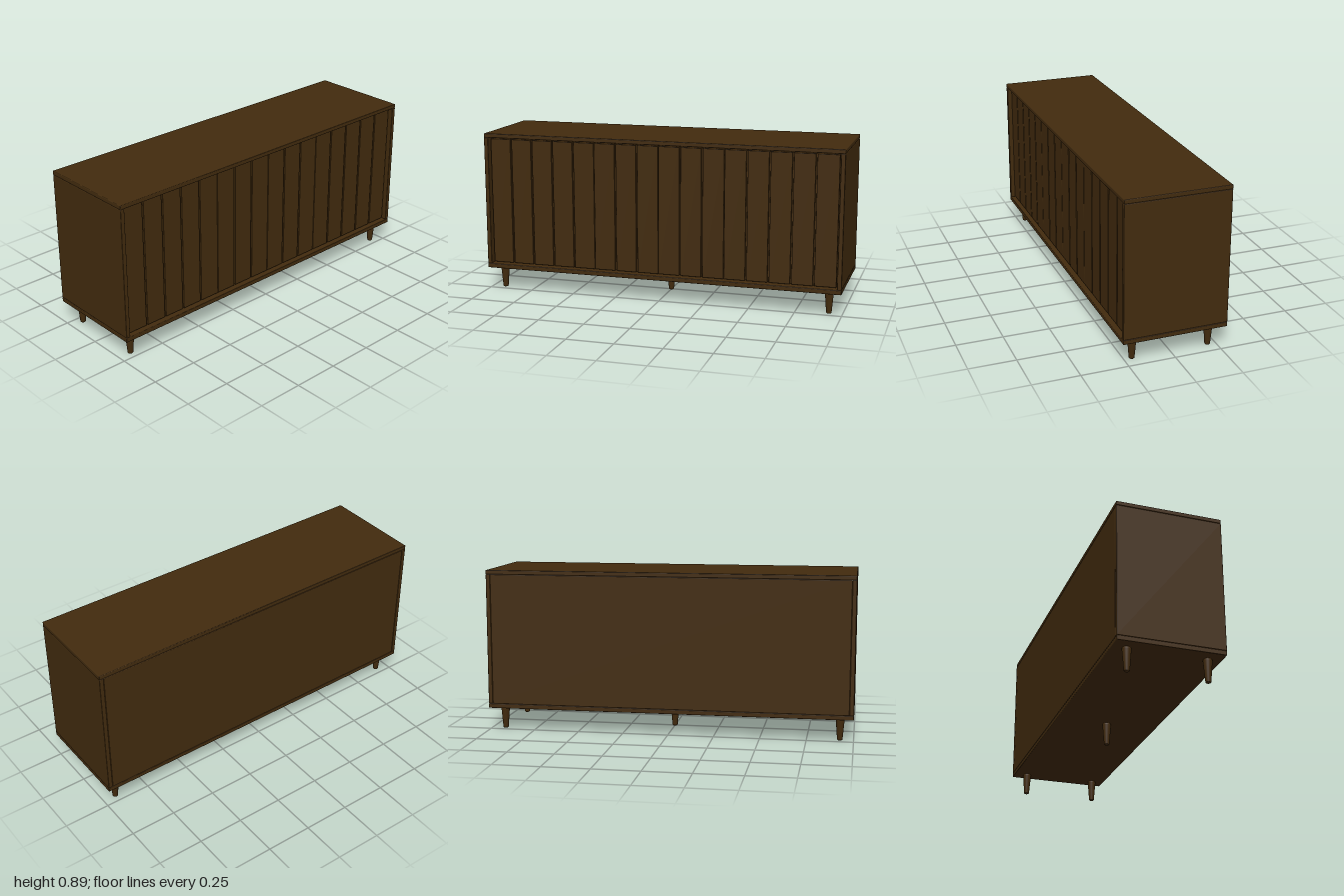
import * as THREE from 'three';
import { RoundedBoxGeometry } from 'three/addons/geometries/RoundedBoxGeometry.js';

export function createModel() {
  const model = new THREE.Group();
  model.name = 'sideboard';
  const wood = new THREE.MeshStandardMaterial({ color: 0x422b0e });
  wood.name = 'dark walnut';

  const add = (name, geometry, x, y, z, parent = model) => {
    const mesh = new THREE.Mesh(geometry, wood);
    mesh.name = name;
    mesh.position.set(x, y, z);
    parent.add(mesh);
    return mesh;
  };
  // Board with softly eased edges, given by its size and centre
  const board = (name, w, h, d, x, y, z, r = 0.004, parent = model) =>
    add(name, new RoundedBoxGeometry(w, h, d, 2, r), x, y, z, parent);

  // Cabinet shell
  const depth = 0.56, baseTop = 0.148, topUnder = 0.865;
  const wallH = topUnder - baseTop, wallY = (topUnder + baseTop) / 2;
  board('topBoard', 2, 0.023, depth, 0, 0.8765, 0);
  board('bottomBoard', 2, 0.025, depth, 0, 0.1355, 0);
  for (const s of [-1, 1]) {
    board(s > 0 ? 'leftSide' : 'rightSide', 0.024, wallH, depth, s * 0.988, wallY, 0);
  }
  board('backPanel', 1.952, wallH, 0.02, 0, wallY, -0.27);

  // Four doors faced with vertical slats: 5, 3, 3 and 5
  const pitch = 0.1213, doorH = 0.702, doorY = 0.506;
  let start = -8 * pitch;
  [5, 3, 3, 5].forEach((count, i) => {
    const door = new THREE.Group();
    door.name = 'door' + (i + 1);
    model.add(door);
    const width = count * pitch;
    add('doorBacking', new THREE.BoxGeometry(width - 0.003, doorH, 0.012),
      start + width / 2, doorY, 0.238, door);
    for (let k = 0; k < count; k++) {
      // Grooves inside a door are wider than the gaps between doors
      const x0 = start + k * pitch + (k === 0 ? 0.0015 : 0.004);
      const x1 = start + (k + 1) * pitch - (k === count - 1 ? 0.0015 : 0.004);
      board('slat', x1 - x0, doorH, 0.014, (x0 + x1) / 2, doorY, 0.25, 0.002, door);
    }
    start += width;
  });

  // Tapered round legs: one at each corner and one in the middle
  const legProfile = [[0, 0], [0.012, 0], [0.0145, 0.003], [0.0235, 0.112], [0.0235, 0.116], [0.021, 0.123], [0, 0.123]]
    .map(([r, y]) => new THREE.Vector2(r, y));
  const legGeometry = new THREE.LatheGeometry(legProfile, 24);
  for (const [x, z] of [[-0.927, 0.207], [0.927, 0.207], [-0.927, -0.207], [0.927, -0.207], [0, 0]]) {
    add('leg', legGeometry, x, 0, z);
  }
  return model;
}
